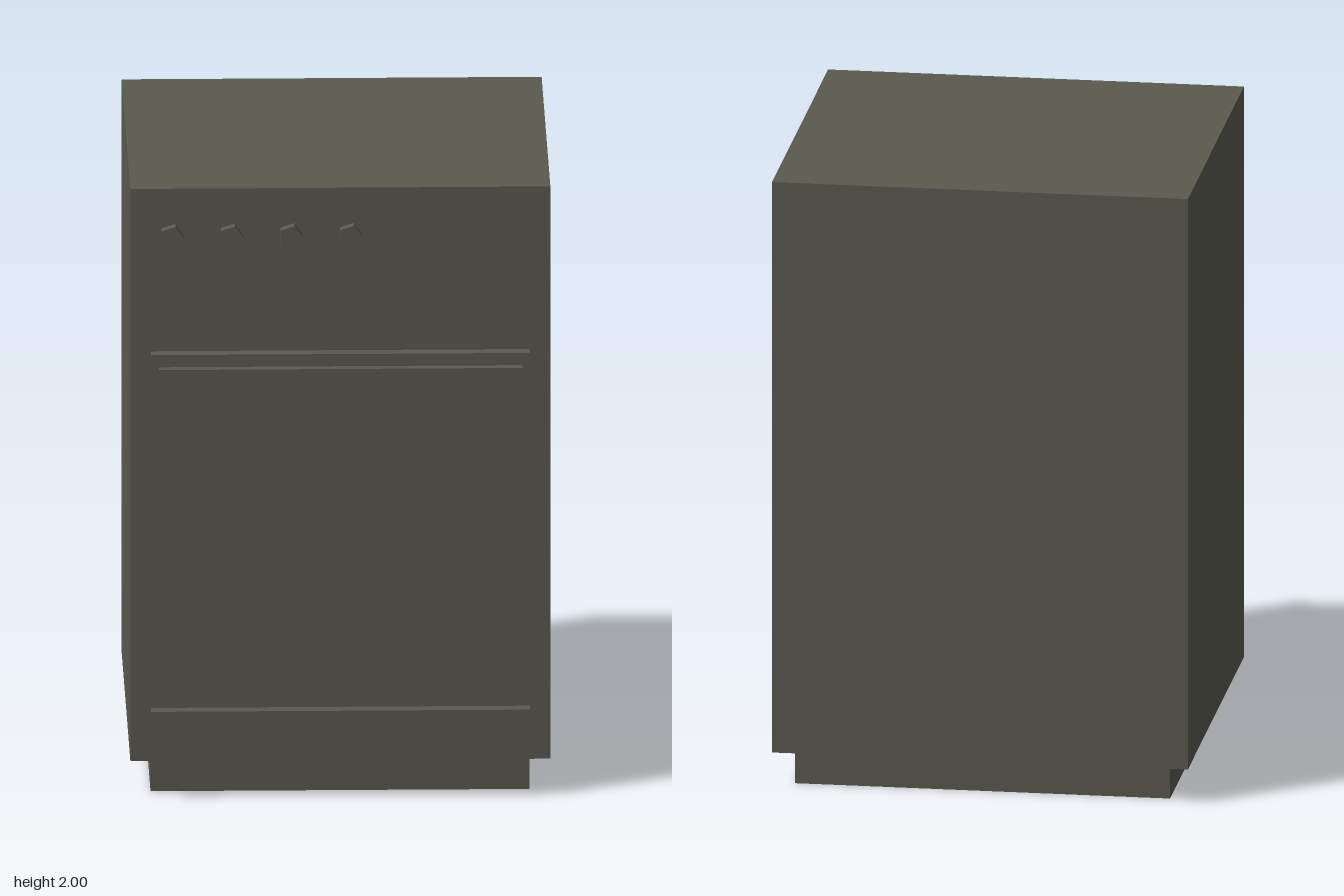
import * as THREE from 'three';

export function createModel() {
  const group = new THREE.Group();
  group.name = 'cooker';
  const enamel = new THREE.MeshStandardMaterial({ color: 0x5a594e, side: THREE.DoubleSide, flatShading: true });
  enamel.name = 'darkOliveEnamel';

  function add(name, geometry, x = 0, y = 0, z = 0) {
    const mesh = new THREE.Mesh(geometry, enamel);
    mesh.name = name;
    mesh.position.set(x, y, z);
    group.add(mesh);
    return mesh;
  }

  // Box given by its half width and its y and z limits
  function box(name, halfWidth, y0, y1, z0, z1) {
    return add(name, new THREE.BoxGeometry(halfWidth * 2, y1 - y0, z1 - z0), 0, (y0 + y1) / 2, (z0 + z1) / 2);
  }

  // Body walls: a shell, with the top and bottom faces left off
  const body = box('bodyWalls', 0.665, 0.115, 2, -0.665, 0.59);
  const index = Array.from(body.geometry.index.array);
  body.geometry.setIndex([...index.slice(0, 12), ...index.slice(24)]);
  body.geometry.clearGroups();

  // Top: a rim around a flush hob panel
  const rectangle = (Type, w, z0, z1) => new Type([[-w, -z1], [w, -z1], [w, -z0], [-w, -z0]]
    .map(([x, y]) => new THREE.Vector2(x, y)));
  const rim = rectangle(THREE.Shape, 0.665, -0.665, 0.59);
  rim.holes.push(rectangle(THREE.Path, 0.577, -0.62, 0.535));
  add('topRim', new THREE.ShapeGeometry(rim).rotateX(-Math.PI / 2), 0, 2, 0);
  const hob = rectangle(THREE.Shape, 0.577, -0.62, 0.535);
  add('hobPanel', new THREE.ShapeGeometry(hob).rotateX(-Math.PI / 2), 0, 2, 0);

  // Plinth, door, handle and drawer
  box('plinth', 0.6, 0, 0.115, -0.61, 0.535);
  box('ovenDoor', 0.6, 0.315, 1.465, 0.59, 0.635);
  box('doorHandle', 0.576, 1.36, 1.425, 0.635, 0.667);
  box('drawerFront', 0.6, 0.135, 0.29, 0.59, 0.635);

  // Four five-sided knobs, each with a corner pointing to +x
  const knob = new THREE.CylinderGeometry(0.039, 0.039, 0.035, 5).rotateX(Math.PI / 2).rotateZ(Math.PI / 2);
  for (let i = 0; i < 4; i++) add('knob' + (i + 1), knob, -0.535 + i * 0.1885, 1.847, 0.6075);

  return group;
}
